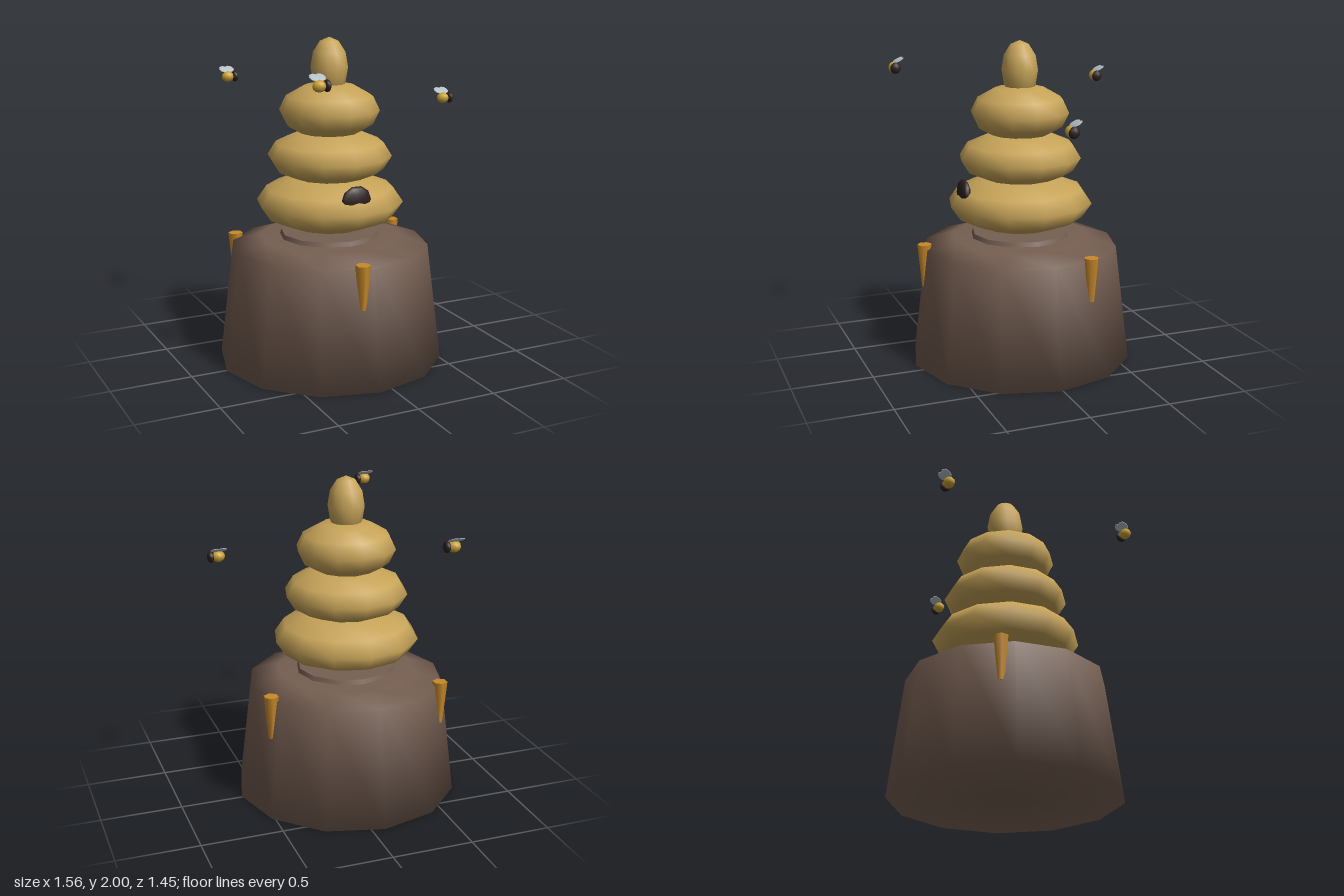
import * as THREE from 'three';

const mat = (name, color) => Object.assign(new THREE.MeshStandardMaterial({ color }), { name });

export function createModel() {
  const rock = mat('rock brown', 0x765f52);
  const straw = mat('straw', 0xc6a358);
  const honey = mat('honey', 0xc88a2a);
  const dark = mat('dark brown', 0x2c1f1f);
  const beeGold = mat('bee gold', 0xc9a035);
  const wingGrey = mat('wing grey', 0xb4bfc6);

  const model = new THREE.Group();
  model.name = 'beehive';
  const CX = -0.083, CZ = 0.01;

  const add = (parent, name, geometry, material, x, y, z) => {
    const mesh = new THREE.Mesh(geometry, material);
    mesh.name = name;
    mesh.position.set(x, y, z);
    parent.add(mesh);
    return mesh;
  };
  const ellipsoid = (rx, ry, rz, sides = 12, rings = 6) =>
    new THREE.SphereGeometry(1, sides, rings).scale(rx, ry, rz);

  // Tapered stump with a sloping rim, softly shaded across its edges
  const profile = [[0, 0], [0.695, 0], [0.605, 0.73], [0.43, 0.785], [0, 0.785]]
    .map(([r, y]) => new THREE.Vector2(r, y));
  add(model, 'base', new THREE.LatheGeometry(profile, 12), rock, CX, 0, CZ);
  add(model, 'basePlate', new THREE.CylinderGeometry(0.3, 0.31, 0.03, 12), rock, CX, 0.797, CZ);

  // Stacked hive tiers and the knob on top: radius, half height, centre height
  [[0.45, 0.178, 1.0], [0.38, 0.165, 1.284], [0.305, 0.172, 1.562], [0.113, 0.18, 1.82]]
    .forEach(([r, h, y], i) =>
      add(model, i < 3 ? `hiveTier${i + 1}` : 'hiveTop', ellipsoid(r, h, r), straw, CX, y, CZ));

  // Entrance hole cover on the lowest tier
  const hole = new THREE.SphereGeometry(1, 10, 6).rotateX(Math.PI / 2).scale(0.097, 0.088, 0.036);
  add(model, 'entrance', hole, dark, CX, 1.08, 0.376);

  // Honey drips around the rim
  const drip = new THREE.CylinderGeometry(0.046, 0.021, 0.27, 6);
  [[-0.157, 0.612], [0.478, -0.232], [-0.565, -0.358]].forEach(([x, z], i) =>
    add(model, `honeyDrip${i + 1}`, drip, honey, x, 0.625, z));

  // Bees, all heading toward +x with raised wings
  const body = ellipsoid(0.041, 0.034, 0.034, 8, 6);
  const head = ellipsoid(0.021, 0.035, 0.034, 8, 6);
  const wing = ellipsoid(0.032, 0.005, 0.036, 8, 6);
  [[-0.466, 1.82, 0.695], [-0.478, 1.702, -0.665], [0.71, 1.58, 0.01]].forEach(([x, y, z], i) => {
    const bee = new THREE.Group();
    bee.name = `bee${i + 1}`;
    bee.position.set(x, y, z);
    add(bee, 'beeBody', body, beeGold, 0, 0, 0);
    add(bee, 'beeHead', head, dark, 0.046, 0, 0);
    for (const s of [-1, 1])
      add(bee, 'beeWing', wing, wingGrey, 0.002 + s * 0.018, 0.044, -0.028).rotation.x = 0.5;
    model.add(bee);
  });

  return model;
}
